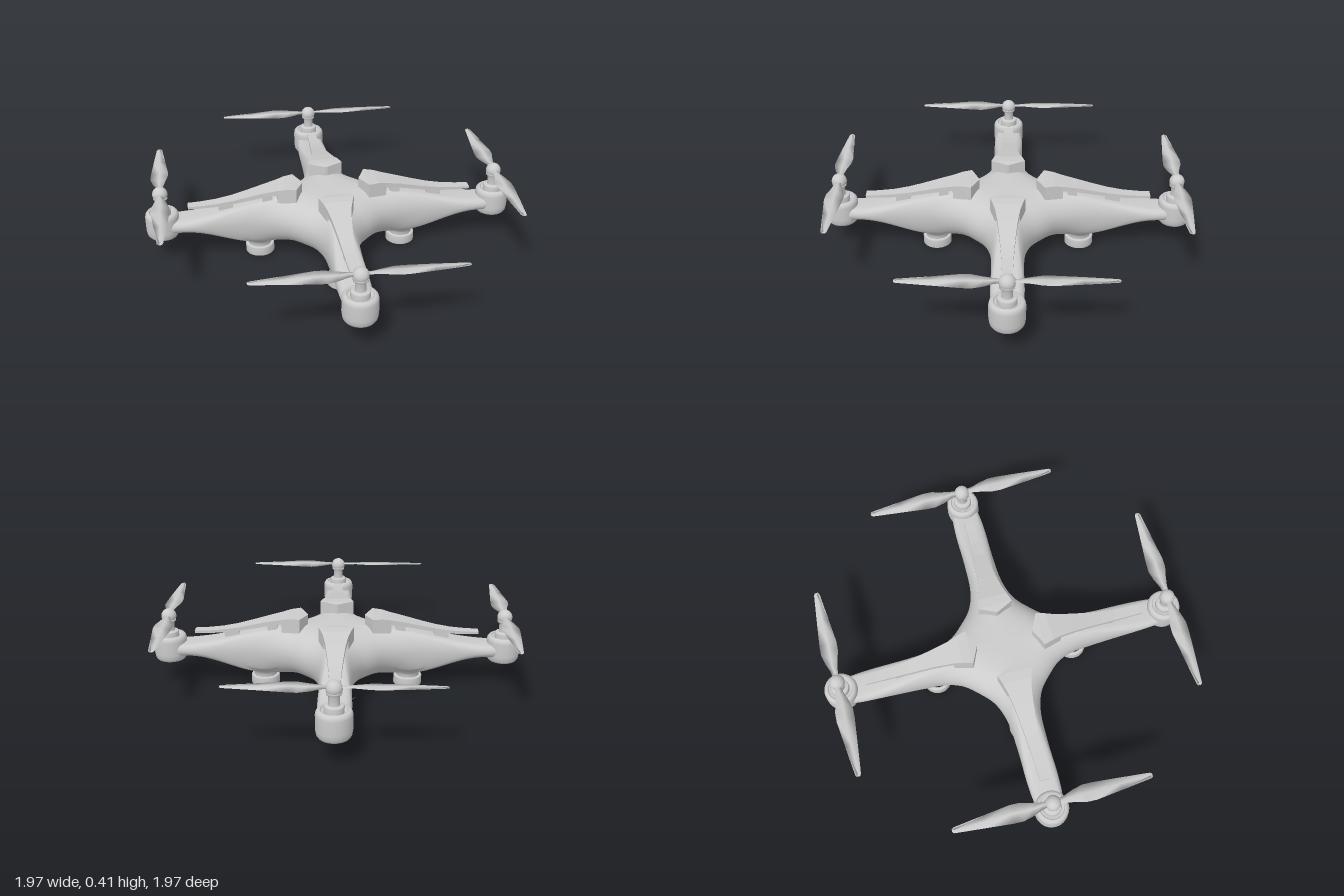
import * as THREE from 'three';
import { mergeVertices } from 'three/addons/utils/BufferGeometryUtils.js';

const grey = new THREE.MeshStandardMaterial({ color: 0xcccccc });
const flat = new THREE.MeshStandardMaterial({ color: 0xcccccc, flatShading: true });
const thin = new THREE.MeshStandardMaterial({ color: 0xcccccc, side: THREE.DoubleSide });
const POD_R = 0.88; // distance of each motor from the centre

function add(parent, name, geometry, material = grey) {
  const mesh = new THREE.Mesh(geometry, material);
  mesh.name = name;
  parent.add(mesh);
  return mesh;
}

function lathe(points, segments = 40) {
  return new THREE.LatheGeometry(points.map(([r, y]) => new THREE.Vector2(r, y)), segments);
}

// Skin over closed rings of [x, y, z] stacked along +x, with both ends capped
function loft(rings) {
  const n = rings[0].length, index = [];
  for (let i = 0; i < rings.length - 1; i++) {
    for (let j = 0; j < n; j++) {
      const a = i * n + j, b = i * n + (j + 1) % n;
      index.push(a, b, a + n, b, b + n, a + n);
    }
  }
  const last = (rings.length - 1) * n;
  for (let j = 1; j < n - 1; j++) index.push(0, j + 1, j, last, last + j, last + j + 1);
  const g = new THREE.BufferGeometry();
  g.setAttribute('position', new THREE.Float32BufferAttribute(rings.flat(2), 3));
  g.setIndex(index);
  g.computeVertexNormals();
  return g;
}

// Four-armed shell: a star outline swept from the belly up to the roof
function bodyGeometry() {
  const half = [[0, 0.272], [0.1, 0.28], [0.2, 0.328], [0.33, 0.443], [0.45, 0.565], [0.53, 0.635], [0.6, 0.68]];
  const quarter = [...half.map(([x, z]) => [z, x]), [0.655, 0.655], ...half.slice(1).reverse()];
  const outline = [];
  for (let k = 0; k < 4; k++) {
    const c = Math.round(Math.cos(k * Math.PI / 2)), s = Math.round(Math.sin(k * Math.PI / 2));
    for (const [x, z] of quarter) outline.push(new THREE.Vector3(c * x - s * z, 0, s * x + c * z));
  }
  const curve = new THREE.CatmullRomCurve3(outline, true);
  const around = 240, layers = 48, mid = 0.203, reach = 0.926;
  const round = t => Math.sqrt(Math.max(0, 1 - t ** 4));
  const pos = [], index = [];
  for (let i = 0; i <= layers; i++) {
    const a = (i / layers - 0.5) * Math.PI, t = Math.cos(a);
    for (let j = 0; j < around; j++) {
      const p = curve.getPoint(j / around).multiplyScalar(t), r = p.length();
      const ridge = a > 0
        ? 0.335 - 0.1 * THREE.MathUtils.smoothstep(r, 0.15, 0.85)
        : 0.07 + 0.1 * THREE.MathUtils.smoothstep(r, 0.38, 0.78);
      const q = i === layers / 2 ? 0 : round(t) / round(Math.min(r / reach, 0.93));
      pos.push(p.x, mid + (ridge - mid) * q, p.z);
      if (i < layers) {
        const u = i * around + j, v = i * around + (j + 1) % around;
        index.push(u, u + around, v, v, u + around, v + around);
      }
    }
  }
  const g = new THREE.BufferGeometry();
  g.setAttribute('position', new THREE.Float32BufferAttribute(pos, 3));
  g.setIndex(index);
  const merged = mergeVertices(g, 1e-5);
  merged.computeVertexNormals();
  return merged;
}

// Raised strip over an arm: distance along arm, half width, top, bottom
function panelGeometry() {
  const sections = [
    [0.15, 0.006, 0.386, 0.31], [0.19, 0.09, 0.39, 0.31], [0.24, 0.075, 0.388, 0.31],
    [0.285, 0.062, 0.378, 0.3], [0.286, 0.062, 0.378, 0.352], [0.36, 0.05, 0.362, 0.338],
    [0.44, 0.041, 0.342, 0.32], [0.52, 0.034, 0.323, 0.303], [0.6, 0.029, 0.31, 0.293],
    [0.68, 0.026, 0.303, 0.289], [0.745, 0.024, 0.301, 0.289],
  ];
  return loft(sections.map(([x, w, t, b]) => [[x, t, -w], [x, t, w], [x, b, w], [x, b, -w]]));
}

// Twisted blade: distance from hub, trailing edge, leading edge, thickness, pitch
function bladeGeometry() {
  const sections = [
    [0.02, -0.014, 0.014, 0.012, 0.1], [0.06, -0.02, 0.018, 0.012, 0.14],
    [0.11, -0.038, 0.028, 0.011, 0.15], [0.16, -0.049, 0.042, 0.01, 0.13],
    [0.21, -0.047, 0.044, 0.009, 0.11], [0.34, -0.033, 0.03, 0.007, 0.07],
    [0.495, -0.016, 0.013, 0.005, 0.04], [0.505, -0.01, 0.007, 0.004, 0.04],
  ];
  return loft(sections.map(([x, a, b, h, pitch]) => {
    const m = (a + b) / 2;
    return [[a, 0], [m, h / 2], [b, 0], [m, -h / 2]].map(([z, y]) =>
      [x, y * Math.cos(pitch) + z * Math.sin(pitch), z * Math.cos(pitch)]);
  }));
}

export function createModel() {
  const model = new THREE.Group();
  model.name = 'quadcopter';
  add(model, 'body', bodyGeometry());

  const podShape = lathe([[0, 0.135], [0.055, 0.135], [0.073, 0.14], [0.082, 0.153], [0.086, 0.18],
    [0.086, 0.25], [0.083, 0.264], [0.076, 0.273], [0.066, 0.276], [0.061, 0.274], [0.06, 0.262], [0, 0.262]]);
  const collarShape = lathe([[0.047, 0.26], [0.047, 0.29], [0.043, 0.295], [0.028, 0.295],
    [0.026, 0.3], [0.026, 0.345], [0.036, 0.35], [0.036, 0.362], [0, 0.362]], 32);
  const footShape = lathe([[0, 0], [0.07, 0], [0.075, 0.004], [0.075, 0.046], [0.071, 0.051], [0.06, 0.052]]);
  const mountShape = lathe([[0.06, 0.045], [0.061, 0.066], [0.067, 0.08], [0.08, 0.094], [0.105, 0.11], [0.12, 0.125]]);
  const panelShape = panelGeometry(), bladeShape = bladeGeometry();

  // Everything on one arm is built along +x, then turned to its corner
  for (let k = 0; k < 4; k++) {
    const arm = new THREE.Group();
    arm.name = 'arm' + (k + 1);
    arm.rotation.y = Math.PI / 4 + k * Math.PI / 2;
    model.add(arm);

    add(arm, 'motorPod', podShape).position.x = POD_R;
    add(arm, 'motorShaft', collarShape).position.x = POD_R;
    add(arm, 'propellerHub', new THREE.SphereGeometry(0.039, 28, 18)).position.set(POD_R, 0.376, 0);
    for (const side of [-1, 1]) {
      const blade = add(arm, 'propellerBlade', bladeShape, thin);
      blade.position.set(POD_R, 0.383, 0);
      blade.rotation.y = side * Math.PI / 2;
    }

    // Top strip on its two posts
    add(arm, 'topPanel', panelShape, flat);
    for (const [x, y, length, width] of [[0.335, 0.325, 0.05, 0.085], [0.55, 0.281, 0.075, 0.05]]) {
      add(arm, 'panelPost', new THREE.BoxGeometry(length, 0.06, width), flat).position.set(x, y - 0.005, 0);
    }

    add(arm, 'foot', footShape).position.x = 0.38;
    add(arm, 'footMount', mountShape).position.x = 0.38;
  }
  return model;
}
